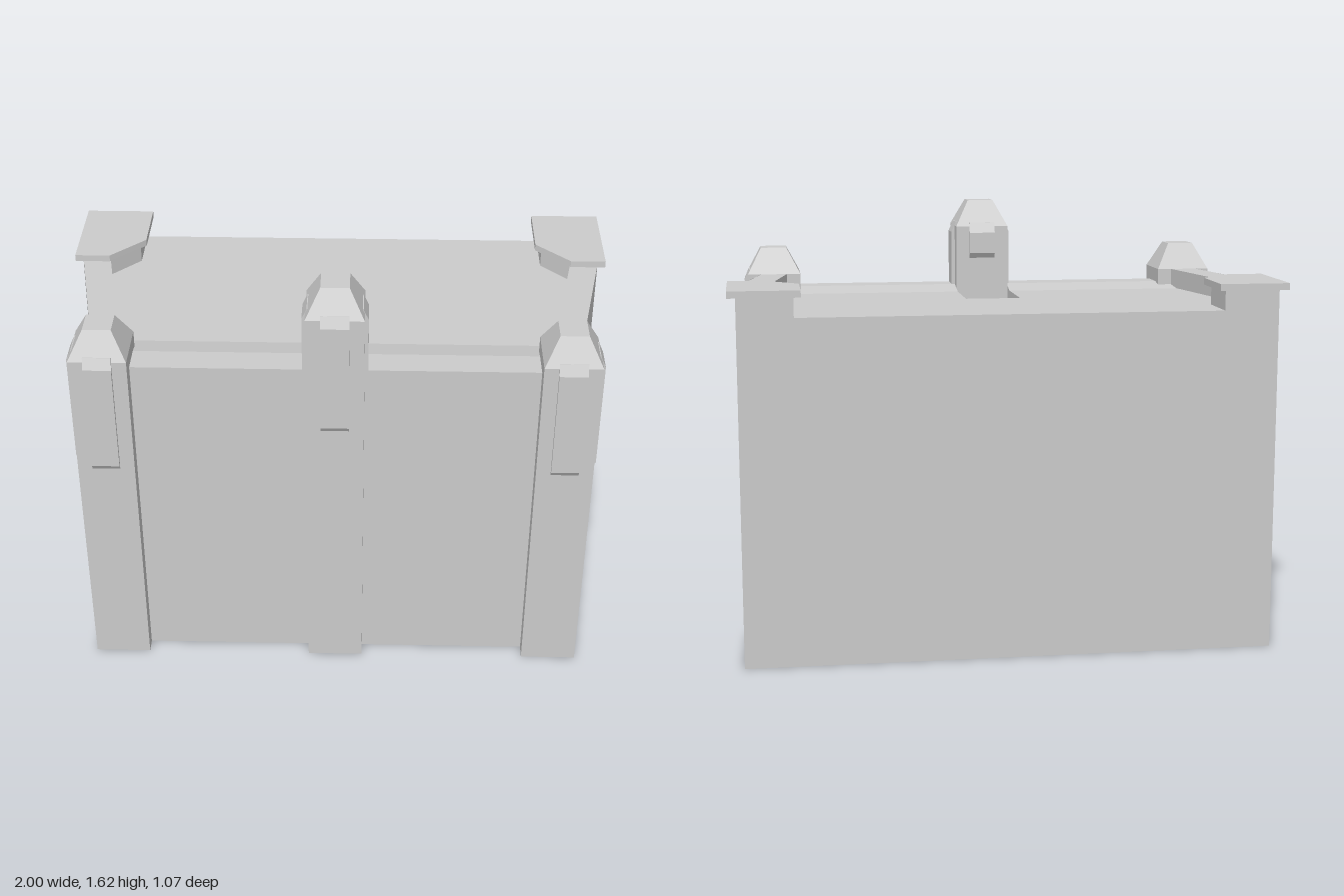
import * as THREE from 'three';

const material = new THREE.MeshStandardMaterial({ color: 0xcccccc, flatShading: true, side: THREE.DoubleSide });

function addMesh(parent, name, geometry) {
  const mesh = new THREE.Mesh(geometry, material);
  mesh.name = name;
  parent.add(mesh);
  return mesh;
}

// Strip of quads between two rows of [x, y, z] points
function strip(rowA, rowB) {
  const positions = [];
  for (let i = 0; i < rowA.length - 1; i++) {
    const [a, b, c, d] = [rowA[i], rowA[i + 1], rowB[i + 1], rowB[i]];
    positions.push(...a, ...b, ...c, ...a, ...c, ...d);
  }
  const geometry = new THREE.BufferGeometry();
  geometry.setAttribute('position', new THREE.Float32BufferAttribute(positions, 3));
  geometry.computeVertexNormals();
  return geometry;
}

// Upright prism over a plan outline of [x, z] points
function prism(outline, y0, y1) {
  const shape = new THREE.Shape(outline.map(([x, z]) => new THREE.Vector2(x, -z)));
  return new THREE.ExtrudeGeometry(shape, { depth: y1 - y0, bevelEnabled: false })
    .rotateX(-Math.PI / 2).translate(0, y0, 0);
}

// Raised panel on a pillar face, bevelled at both ends, facing +x before turning
function panelGeometry(bottom, top, turn) {
  const profile = [[-0.02, bottom], [0, bottom], [0.013, bottom + 0.02],
    [0.013, top - 0.025], [-0.005, top + 0.015], [-0.02, top + 0.015]];
  const shape = new THREE.Shape(profile.map(([x, y]) => new THREE.Vector2(x, y)));
  return new THREE.ExtrudeGeometry(shape, { depth: 0.1, bevelEnabled: false })
    .translate(0.1025, 0, -0.05).rotateY(turn);
}

// Square pillar with a tapered head; panels are [bottom, turn]
function pillar(name, x, height, panels) {
  const group = new THREE.Group();
  group.name = name;
  group.position.set(x, 0, 0.4175);
  const h = 0.1025;
  const ring = (r, y) => [[-r, y, -r], [r, y, -r], [r, y, r], [-r, y, r], [-r, y, -r]];
  addMesh(group, 'pillarShaft', strip(ring(h, 0), ring(h, height)));
  addMesh(group, 'pillarTaper', strip(ring(h, height), ring(0.05, height + 0.1)));
  addMesh(group, 'pillarTop', new THREE.PlaneGeometry(0.1, 0.1).rotateX(-Math.PI / 2).translate(0, height + 0.1, 0));
  for (const [bottom, turn] of panels) addMesh(group, 'pillarPanel', panelGeometry(bottom, height, turn));
  return group;
}

export function createModel() {
  const model = new THREE.Group();
  model.name = 'wallBlock';
  const roofY = 1.262, frontY = 1.282, wallY = 1.335, pitY = 1.185, pitX = 0.104;
  const FRONT = -Math.PI / 2, BACK = Math.PI / 2;

  // Front and back walls, open underneath
  addMesh(model, 'backWall', strip([[-0.97, 0, -0.51], [0.97, 0, -0.51]], [[-0.97, roofY, -0.51], [0.97, roofY, -0.51]]));
  addMesh(model, 'frontWall', strip([[-0.73, 0, 0.465], [0.73, 0, 0.465]], [[-0.73, frontY, 0.465], [0.73, frontY, 0.465]]));

  for (const s of [1, -1]) {
    const side = s > 0 ? 'left' : 'right';
    const flip = (points) => points.map(([x, z]) => [s * x, z]);

    // Bent side wall and its raised parapet
    const plan = flip([[0.97, -0.51], [0.97, -0.18], [0.875, 0.32]]);
    addMesh(model, side + 'Wall', strip(plan.map(([x, z]) => [x, 0, z]), plan.map(([x, z]) => [x, wallY, z])));
    addMesh(model, side + 'Parapet', prism(
      flip([[0.969, -0.18], [0.868, -0.19], [0.773, 0.32], [0.874, 0.32]]), roofY - 0.01, wallY));

    // Back corner post with an overhanging slab
    addMesh(model, side + 'CornerPost', prism(
      flip([[0.97, -0.51], [0.77, -0.51], [0.77, -0.315], [0.88, -0.2], [0.97, -0.2]]), roofY - 0.01, wallY));
    addMesh(model, side + 'CornerSlab', prism(
      flip([[1, -0.535], [0.745, -0.535], [0.745, -0.305], [0.87, -0.18], [1, -0.18]]), wallY, 1.36));

    // Roof half with the raised front rim
    const section = [[0.97, roofY, -0.51], [0.97, roofY, -0.18], [0.885, roofY, 0.26],
      [0.8, frontY, 0.36], [0.73, frontY, 0.465]];
    addMesh(model, side + 'Roof', strip(
      section.map(([x, y, z]) => [s * x, y, z]), section.map(([, y, z]) => [s * pitX, y, z])));

    // Side of the sunken ramp
    const x = s * pitX;
    addMesh(model, side + 'RampSide', strip(
      [[x, roofY, 0], [x, roofY, 0.155], [x, roofY, 0.26], [x, frontY - 0.008, 0.32]],
      [[x, roofY, 0], [x, pitY, 0.155], [x, pitY, 0.26], [x, pitY, 0.32]]));

    model.add(pillar(side + 'Pillar', s * 0.8225, wallY, [[0.88, FRONT], [0.88, s > 0 ? 0 : Math.PI]]));
  }

  // Middle of the roof, sinking to a ramp behind the centre pillar
  const ramp = [[roofY, -0.51], [roofY, 0], [pitY, 0.155], [pitY, 0.32]];
  addMesh(model, 'roofRamp', strip(
    ramp.map(([y, z]) => [pitX, y, z]), ramp.map(([y, z]) => [-pitX, y, z])));

  model.add(pillar('centrePillar', 0, 1.515, [[1.06, FRONT], [1.06, 0], [1.06, Math.PI], [1.39, BACK]]));
  return model;
}
